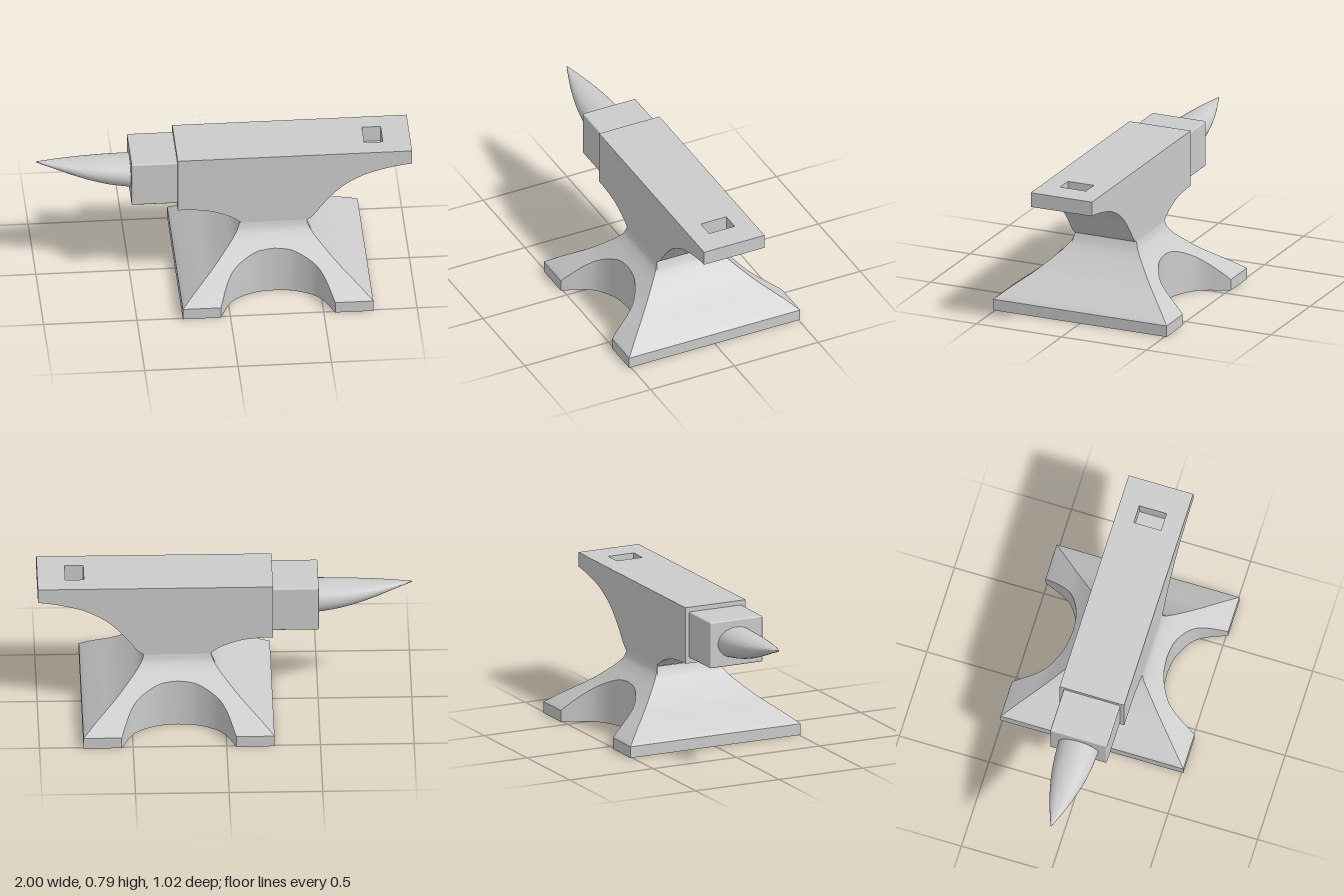
import * as THREE from 'three';
import { mergeGeometries, toCreasedNormals } from 'three/addons/utils/BufferGeometryUtils.js';
import { RoundedBoxGeometry } from 'three/addons/geometries/RoundedBoxGeometry.js';

const V2 = (p) => new THREE.Vector2(p[0], p[1]);
const spline = (pts, n = 32) => new THREE.SplineCurve(pts.map(V2)).getPoints(n);

// Smooth function y(x) through a few points with rising x
function curveFn(pts) {
  const s = spline(pts, 80);
  return (x) => {
    if (x <= s[0].x) return s[0].y;
    for (let i = 1; i < s.length; i++) {
      if (x <= s[i].x) {
        const t = (x - s[i - 1].x) / (s[i].x - s[i - 1].x);
        return s[i - 1].y + t * (s[i].y - s[i - 1].y);
      }
    }
    return s[s.length - 1].y;
  };
}

// Surface grid; point(i, j) returns [x, y, z], i running right and j up when seen from outside
function grid(nu, nv, point) {
  const pos = [], idx = [];
  for (let j = 0; j <= nv; j++) for (let i = 0; i <= nu; i++) pos.push(...point(i, j));
  for (let j = 0; j < nv; j++) {
    for (let i = 0; i < nu; i++) {
      const a = j * (nu + 1) + i, b = a + 1, d = a + nu + 1, c = d + 1;
      idx.push(a, b, c, a, c, d);
    }
  }
  const g = new THREE.BufferGeometry();
  g.setAttribute('position', new THREE.Float32BufferAttribute(pos, 3));
  g.setIndex(idx);
  return g;
}

function join(parts, crease = 0.5) {
  const bare = parts.map((g) => {
    g.deleteAttribute('uv');
    g.deleteAttribute('normal');
    return g.toNonIndexed();
  });
  return toCreasedNormals(mergeGeometries(bare), crease);
}

const WAIST = 0.18, FOOT = 0.51;

// Flared square foot with an arch cut into its front and back
function baseGeometry() {
  const height = curveFn([[WAIST, 0.385], [0.19, 0.352], [0.21, 0.322], [0.245, 0.283],
    [0.33, 0.203], [0.42, 0.135], [0.495, 0.077], [FOOT, 0.062]]);
  const arch = curveFn([[0, 0.262], [0.1, 0.275], [0.2, 0.325], [0.255, 0.39], [0.305, FOOT]]);
  const half = [];
  for (let i = 0; i <= 34; i++) half.push(i * 0.009);
  half.push(WAIST + 0.0001, 0.35, 0.4, 0.45, FOOT);
  half.sort((a, b) => a - b);
  const cols = [...half.slice(1).reverse().map((u) => -u), ...half];
  const n = cols.length - 1, rows = 24;
  const cut = (u) => Math.min(FOOT, arch(Math.abs(u)));
  const parts = [];
  for (let side = 0; side < 4; side++) {
    const outer = side % 2 ? () => FOOT : cut;
    const slope = grid(n, rows, (i, j) => {
      const u = cols[i], o = outer(u), inner = Math.max(WAIST, Math.abs(u));
      const z = o + (inner - o) * (j / rows);
      return [u, height(z), z];
    });
    const wall = grid(n, 1, (i, j) => {
      const o = outer(cols[i]);
      return [cols[i], j * height(o), o];
    });
    parts.push(slope.rotateY(side * Math.PI / 2), wall.rotateY(side * Math.PI / 2));
  }
  // underside
  parts.push(grid(n, 1, (i, j) => [cols[i], 0, (j ? 1 : -1) * cut(cols[i])]));
  return join(parts).translate(0.255, 0, 0);
}

// Face block with heel, throat and a blind square hole
function bodyGeometry() {
  const top = 0.79, w = WAIST, x0 = -0.255, x1 = 1;
  const heel = [new THREE.Vector2(x1, top), ...spline([[x1, 0.71], [0.94, 0.703], [0.85, 0.685],
    [0.75, 0.655], [0.65, 0.602], [0.58, 0.543], [0.52, 0.475], [0.47, 0.41], [0.435, 0.383]])];
  const throat = [...spline([[0.085, 0.383], [0.05, 0.41], [0, 0.437], [-0.08, 0.464],
    [-0.16, 0.476], [x0, 0.48]]), new THREE.Vector2(x0, top)];
  const parts = [heel, throat].map((p) =>
    grid(1, p.length - 1, (i, j) => [p[j].x, p[j].y, i ? w : -w]));

  // flat sides
  const outline = new THREE.Shape([...heel, ...throat]);
  const front = new THREE.ShapeGeometry(outline).translate(0, 0, w);
  const back = new THREE.ShapeGeometry(outline).translate(0, 0, -w);
  back.index.array.reverse();

  // working face with the hole
  const cx = 0.802, hx = 0.05, hz = 0.076, floorY = 0.7;
  const face = new THREE.Shape([[x0, -w], [x1, -w], [x1, w], [x0, w]].map(V2));
  const corners = [[cx + hx, hz], [cx - hx, hz], [cx - hx, -hz], [cx + hx, -hz]];
  face.holes.push(new THREE.Path(corners.map(V2)));
  const faceGeo = new THREE.ShapeGeometry(face).rotateX(-Math.PI / 2).translate(0, top, 0);
  const pocket = grid(4, 1, (i, j) => {
    const [x, z] = corners[i % 4];
    return [x, j ? top : floorY, z];
  });
  const floor = new THREE.PlaneGeometry(2 * hx, 2 * hz).rotateX(-Math.PI / 2).translate(cx, floorY, 0);
  return join([...parts, front, back, faceGeo, pocket, floor]);
}

// Tapered horn with an almost level top line
function hornGeometry() {
  const halfWidth = curveFn([[-1, 0.002], [-0.9, 0.038], [-0.8, 0.068], [-0.7, 0.09], [-0.6, 0.104], [-0.49, 0.111]]);
  const bottom = curveFn([[-1, 0.708], [-0.9, 0.672], [-0.8, 0.633], [-0.7, 0.598], [-0.6, 0.571], [-0.49, 0.552]]);
  const n = 40, rows = 28;
  return join([grid(n, rows, (i, j) => {
    const x = -0.49 - 0.51 * (j / rows), a = (i / n) * Math.PI * 2;
    const hi = 0.714 + 0.008 * (1 + x) / 0.5, lo = bottom(x);
    return [x, (hi + lo) / 2 + Math.sin(a) * (hi - lo) / 2, Math.cos(a) * halfWidth(x)];
  })]);
}

export function createModel() {
  const group = new THREE.Group();
  group.name = 'anvil';
  const material = new THREE.MeshStandardMaterial({ color: 0xcccccc });
  const add = (name, geometry) => {
    const mesh = new THREE.Mesh(geometry, material);
    mesh.name = name;
    group.add(mesh);
    return mesh;
  };
  add('base', baseGeometry());
  add('body', bodyGeometry());
  // step between face and horn
  add('step', new RoundedBoxGeometry(0.26, 0.254, 0.316, 3, 0.008)).position.set(-0.37, 0.637, 0);
  add('horn', hornGeometry());
  return group;
}
